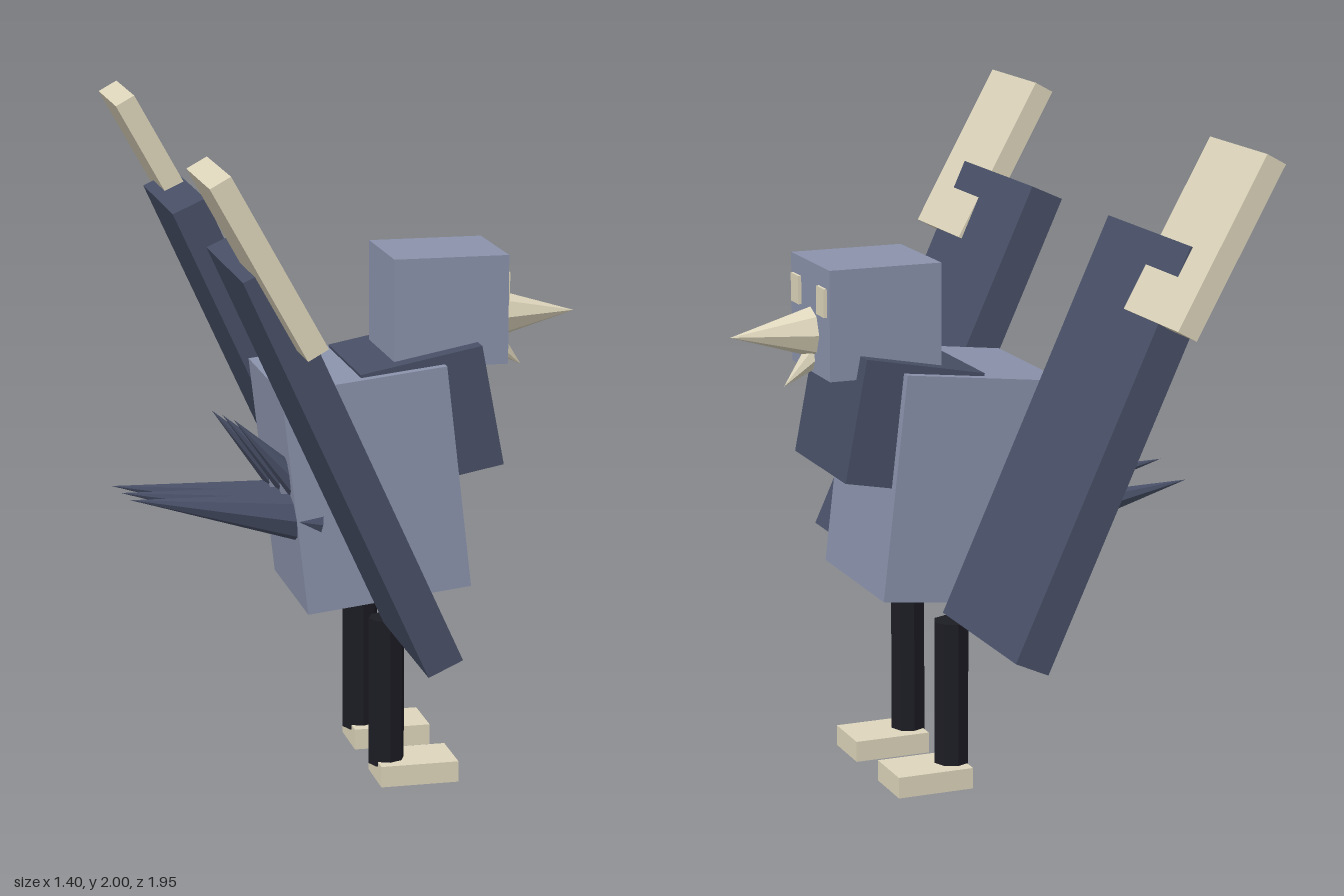
import * as THREE from 'three';

const mat = (color) => new THREE.MeshStandardMaterial({ color, flatShading: true });

export function createModel() {
  const bird = new THREE.Group();
  bird.name = 'bird';
  const blue = mat(0x8a92ab), navy = mat(0x484f66), black = mat(0x1c1c24), cream = mat(0xddd5bb);
  const rad = THREE.MathUtils.degToRad;

  const add = (name, geometry, material, x, y, z, tilt = 0) => {
    const mesh = new THREE.Mesh(geometry, material);
    mesh.name = name;
    mesh.position.set(x, y, z);
    mesh.rotation.z = rad(tilt);
    bird.add(mesh);
  };
  const box = (name, material, size, pos, tilt) =>
    add(name, new THREE.BoxGeometry(...size), material, ...pos, tilt);

  // Cone whose tip lies at the given point and whose axis points at an angle in the xy plane
  const spike = (name, material, tip, angle, radius, length) => {
    const a = rad(angle);
    add(name, new THREE.ConeGeometry(radius, length, 8), material,
      tip[0] - Math.cos(a) * length / 2, tip[1] - Math.sin(a) * length / 2, tip[2], angle - 90);
  };

  // Body, chest and head, facing +x
  box('body', blue, [0.503, 0.683, 0.5], [0.03, 0.922, 0], 6.6);
  box('chest', navy, [0.377, 0.372, 0.44], [0.205, 1.1225, 0], 10.8);
  box('head', blue, [0.35, 0.33, 0.33], [0.275, 1.435, 0]);

  // Beak
  spike('upperBeak', cream, [0.7, 1.39, 0], 0, 0.078, 0.26);
  spike('lowerBeak', cream, [0.535, 1.23, 0], -42, 0.07, 0.23);

  // Paired parts
  for (const s of [1, -1]) {
    const side = s > 0 ? 'Right' : 'Left';
    box('eye' + side, cream, [0.06, 0.085, 0.065], [0.43, 1.5, s * 0.11]);
    box('wing' + side, navy, [0.11, 1.273, 0.55], [-0.17, 1.125, s * 0.555], 24.4);
    box('wingTip' + side, cream, [0.066, 0.548, 0.355], [-0.4375, 1.743, s * 0.798], 28.9);
    add('leg' + side, new THREE.CylinderGeometry(0.055, 0.055, 0.46, 8), black, 0.075, 0.28, s * 0.18);
    box('foot' + side, cream, [0.24, 0.065, 0.175], [0.16, 0.0325, s * 0.18]);
  }

  // Tail feathers: a low row and a raised row, slightly uneven in height
  for (const i of [-1, 0, 1]) {
    spike('lowerTailFeather', navy, [-0.7, 0.895 + i * 0.024, i * 0.18], 171, 0.08, 0.57);
    spike('upperTailFeather', navy, [-0.388, 1.118 + i * 0.027, i * 0.18], 133, 0.06, 0.4);
  }
  return bird;
}
